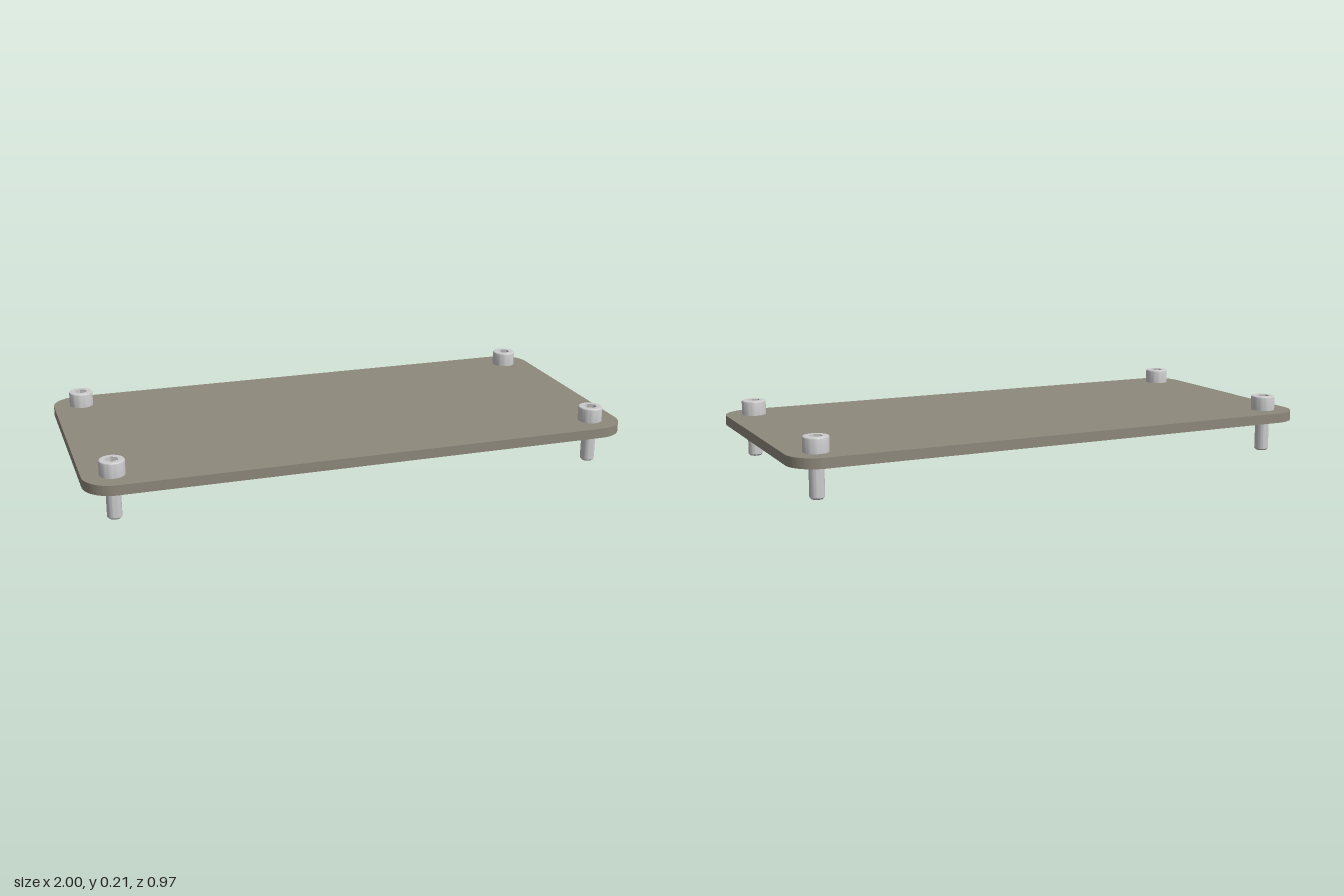
import * as THREE from 'three';
import { toCreasedNormals } from 'three/addons/utils/BufferGeometryUtils.js';

const PLATE_BOTTOM = 0.122, PLATE_TOP = 0.158, HEAD_TOP = 0.212;
const HALF_X = 1, HALF_Z = 0.486, CORNER = 0.105;
const SCREW_X = 0.895, SCREW_Z = 0.381;
const SHANK_R = 0.026, HEAD_R = 0.0445, SOCKET_R = 0.024, SOCKET_DEPTH = 0.026;

const corners = [[1, 1], [1, -1], [-1, -1], [-1, 1]];

function plateGeometry() {
  // Rounded rectangle with a clearance hole in each corner
  const s = new THREE.Shape();
  const cx = HALF_X - CORNER, cz = HALF_Z - CORNER;
  s.absarc(cx, cz, CORNER, 0, Math.PI / 2);
  s.absarc(-cx, cz, CORNER, Math.PI / 2, Math.PI);
  s.absarc(-cx, -cz, CORNER, Math.PI, Math.PI * 1.5);
  s.absarc(cx, -cz, CORNER, Math.PI * 1.5, Math.PI * 2);
  for (const [sx, sz] of corners) {
    s.holes.push(new THREE.Path().absarc(sx * SCREW_X, sz * SCREW_Z, SHANK_R + 0.001, 0, Math.PI * 2, true));
  }
  const g = new THREE.ExtrudeGeometry(s, { depth: PLATE_TOP - PLATE_BOTTOM, bevelEnabled: false, curveSegments: 16 });
  g.rotateX(-Math.PI / 2).translate(0, PLATE_BOTTOM, 0);
  return toCreasedNormals(g, 0.5);
}

function createScrew(material, socketMaterial) {
  const screw = new THREE.Group();
  const add = (name, geometry, mat = material) => {
    const mesh = new THREE.Mesh(geometry, mat);
    mesh.name = name;
    screw.add(mesh);
    return mesh;
  };

  // Shank with chamfered tip
  const shank = [[0, 0], [SHANK_R - 0.006, 0], [SHANK_R, 0.006], [SHANK_R, PLATE_TOP]];
  const lathe = (pts) => toCreasedNormals(
    new THREE.LatheGeometry(pts.map(([r, y]) => new THREE.Vector2(r, y)), 40), 0.5);
  add('shank', lathe(shank));

  // Cylindrical head with a small rounded top edge
  const fillet = 0.005, rim = HEAD_R - fillet;
  const head = [[SHANK_R, PLATE_TOP], [HEAD_R, PLATE_TOP]];
  for (let i = 0; i <= 4; i++) {
    const a = (i / 4) * Math.PI / 2;
    head.push([rim + fillet * Math.cos(a), HEAD_TOP - fillet + fillet * Math.sin(a)]);
  }
  add('head', lathe(head));

  // Flat top face around the hex socket
  const face = new THREE.Shape().absarc(0, 0, rim, 0, Math.PI * 2);
  const hex = [];
  for (let i = 0; i < 6; i++) {
    const a = i * Math.PI / 3 + Math.PI / 6;
    hex.push(new THREE.Vector2(SOCKET_R * Math.cos(a), SOCKET_R * Math.sin(a)));
  }
  face.holes.push(new THREE.Path(hex));
  add('headFace', new THREE.ShapeGeometry(face, 20).rotateX(-Math.PI / 2)).position.y = HEAD_TOP;

  // Hex socket walls and shallow conical floor
  const wall = new THREE.CylinderGeometry(SOCKET_R, SOCKET_R, SOCKET_DEPTH, 6, 1, true);
  add('socketWall', wall, socketMaterial).position.y = HEAD_TOP - SOCKET_DEPTH / 2;
  const floor = new THREE.CylinderGeometry(SOCKET_R, 0, 0.006, 6, 1, true);
  add('socketFloor', floor, socketMaterial).position.y = HEAD_TOP - SOCKET_DEPTH - 0.003;
  return screw;
}

export function createModel() {
  const model = new THREE.Group();
  model.name = 'coverPlateWithScrews';

  const plate = new THREE.Mesh(plateGeometry(), new THREE.MeshStandardMaterial({ color: 0x8f897c }));
  plate.name = 'plate';
  model.add(plate);

  // One socket-head screw per corner
  const steel = new THREE.MeshStandardMaterial({ color: 0xcccccc });
  const socketSteel = new THREE.MeshStandardMaterial({ color: 0xcccccc, side: THREE.DoubleSide, flatShading: true });
  const screw = createScrew(steel, socketSteel);
  for (const [sx, sz] of corners) {
    const s = screw.clone();
    s.name = (sz > 0 ? 'front' : 'back') + (sx > 0 ? 'Left' : 'Right') + 'Screw';
    s.position.set(sx * SCREW_X, 0, sz * SCREW_Z);
    model.add(s);
  }
  return model;
}
